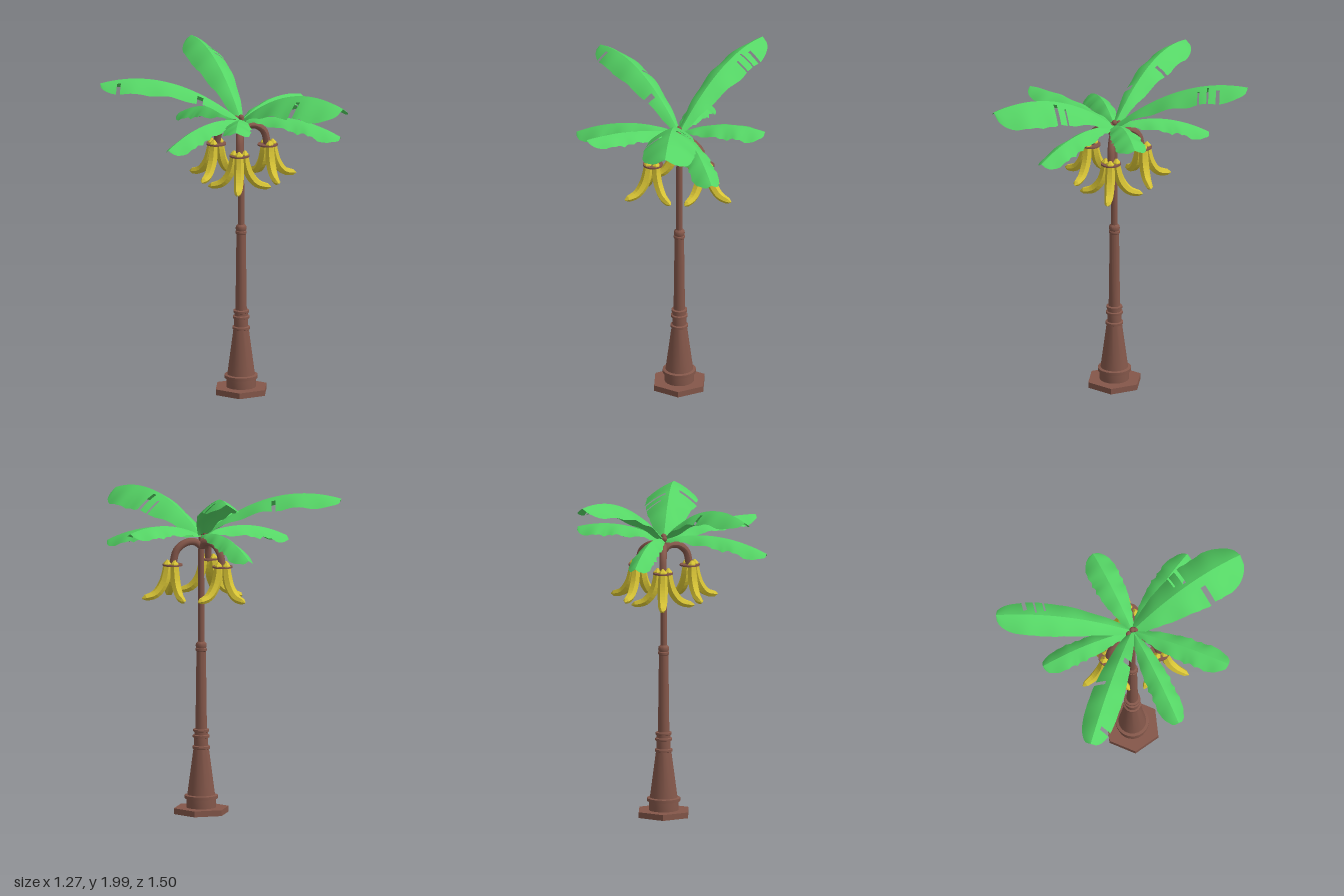
import * as THREE from 'three';
import { toCreasedNormals } from 'three/addons/utils/BufferGeometryUtils.js';

const V = (x, y, z) => new THREE.Vector3(x, y, z);
const bark = new THREE.MeshStandardMaterial({ color: 0x84574a });
const peel = new THREE.MeshStandardMaterial({ color: 0xd8c435, flatShading: true });
const green = new THREE.MeshStandardMaterial({ color: 0x55d565, side: THREE.DoubleSide });

function add(parent, name, geometry, material) {
  const mesh = new THREE.Mesh(geometry, material);
  mesh.name = name;
  parent.add(mesh);
  return mesh;
}

// Tube whose radius follows radius(t); small end radii close it
function taperedTube(points, segments, sides, radius) {
  const curve = new THREE.CatmullRomCurve3(points);
  const geo = new THREE.TubeGeometry(curve, segments, 1, sides);
  const pos = geo.attributes.position;
  const p = V(0, 0, 0);
  for (let i = 0; i <= segments; i++) {
    const c = curve.getPointAt(i / segments);
    for (let j = 0; j <= sides; j++) {
      const k = i * (sides + 1) + j;
      p.fromBufferAttribute(pos, k).sub(c).multiplyScalar(radius(i / segments)).add(c);
      pos.setXYZ(k, p.x, p.y, p.z);
    }
  }
  geo.computeVertexNormals();
  return geo;
}

// One half of a folded blade; slits are [side, from, to, innerEdge]
function leafHalf(rib, halfWidth, side, slits, teeth, fold) {
  const rows = 72, cols = 6, pos = [], index = [];
  const dir = rib.getPoint(1).sub(rib.getPoint(0));
  const across = V(-dir.z, 0, dir.x).normalize().multiplyScalar(side);
  for (let i = 0; i <= rows; i++) {
    const t = i / rows;
    const root = Math.pow(Math.min(1, t / 0.55), 0.55);
    const end = t > 0.72 ? Math.sqrt(Math.max(0, 1 - ((t - 0.72) / 0.28) ** 2)) : 1;
    const ripple = 1 - teeth * Math.abs(Math.sin(t * 31 + side)) * (0.6 + 0.4 * Math.sin(t * 13));
    const w = halfWidth * root * end;
    for (let j = 0; j <= cols; j++) {
      const s = j / cols;
      const reach = w * s * (1 + (ripple - 1) * s);
      const p = rib.getPoint(Math.min(1, t + 0.02 * s * end * root));
      p.addScaledVector(across, reach);
      p.y -= fold * reach * (0.6 + 0.4 * s) + 0.006 * s * Math.sin(t * 24 + side) * end;
      pos.push(p.x, p.y, p.z);
    }
  }
  for (let i = 0; i < rows; i++) {
    const t = (i + 0.5) / rows;
    for (let j = 0; j < cols; j++) {
      if (slits.some(([k, a, b, e]) => k === side && t > a && t < b && (j + 0.5) / cols > e)) continue;
      const a = i * (cols + 1) + j, b = a + 1, c = a + cols + 1, d = c + 1;
      if (side > 0) index.push(a, b, c, b, d, c);
      else index.push(a, c, b, b, c, d);
    }
  }
  const geo = new THREE.BufferGeometry();
  geo.setAttribute('position', new THREE.Float32BufferAttribute(pos, 3));
  // keep the lit side facing up
  geo.setIndex(index);
  geo.computeVertexNormals();
  if (geo.attributes.normal.getY(20 * (cols + 1) + 2) < 0) {
    geo.setIndex(index.reverse());
    geo.computeVertexNormals();
  }
  return geo;
}

export function createModel() {
  const model = new THREE.Group();
  model.name = 'bananaPalm';
  const tree = new THREE.Group();
  tree.name = 'tree';
  tree.position.set(0.137, 0, 0.06);
  model.add(tree);

  // Six-sided foot with corners on the x axis
  const foot = add(tree, 'foot', toCreasedNormals(new THREE.CylinderGeometry(0.168, 0.168, 0.035, 6), 0.5), bark);
  foot.position.y = 0.0175;
  foot.rotation.y = Math.PI / 6 * 3;

  // Turned trunk
  const profile = [
    [0, 0.03], [0.088, 0.03], [0.088, 0.09], [0.099, 0.09], [0.099, 0.108], [0.082, 0.112],
    [0.046, 0.385], [0.052, 0.388], [0.052, 0.402], [0.042, 0.406], [0.041, 0.452], [0.05, 0.455],
    [0.05, 0.468], [0.041, 0.472], [0.041, 0.487], [0.047, 0.49], [0.047, 0.503], [0.034, 0.506],
    [0.028, 0.97], [0.033, 0.975], [0.033, 0.988], [0.029, 0.992], [0.033, 1.005], [0.03, 1.02],
    [0.02, 1.03], [0.017, 1.66], [0, 1.67],
  ].map(([r, y]) => new THREE.Vector2(r, y));
  add(tree, 'trunk', toCreasedNormals(new THREE.LatheGeometry(profile, 20), 0.6), bark);

  // Buds at the crown
  for (const [x, y, z] of [[0, 1.685, 0], [-0.02, 1.675, -0.025], [0.005, 1.67, 0.02]]) {
    add(tree, 'crownBud', new THREE.SphereGeometry(0.017, 10, 8), bark).position.set(x, y, z);
  }

  // Three drooping branches, each with a bunch of three bananas
  for (let b = 0; b < 3; b++) {
    const arm = new THREE.Group();
    arm.name = 'fruitBranch';
    arm.rotation.y = b * Math.PI * 2 / 3;
    tree.add(arm);
    const bend = [V(0, 1.6, 0), V(0.035, 1.628, 0), V(0.09, 1.628, 0), V(0.15, 1.585, 0), V(0.176, 1.49, 0)];
    add(arm, 'branch', taperedTube(bend, 20, 10, () => 0.022), bark);

    const bunch = new THREE.Group();
    bunch.name = 'bananaBunch';
    bunch.position.x = 0.176;
    arm.add(bunch);
    add(bunch, 'bunchCollar', toCreasedNormals(new THREE.CylinderGeometry(0.06, 0.06, 0.009, 16), 0.6), bark).position.y = 1.498;
    for (const angle of [0, 1.68, -1.68]) {
      const path = [V(0.032, 1.53, 0), V(0.036, 1.46, 0), V(0.058, 1.385, 0), V(0.108, 1.325, 0), V(0.188, 1.303, 0)];
      const girth = t => t > 0.999 ? 0.003 : t < 0.001 ? 0.004
        : 0.012 + 0.018 * Math.pow(Math.sin(Math.PI * Math.min(1, 0.1 + t * 0.9)), 0.6);
      add(bunch, 'banana', taperedTube(path, 14, 6, girth), peel).rotation.y = angle;
    }
  }

  // Leaves: tip, arch height, half width, edge teeth, fold, slits
  const leaves = [
    [V(0.21, 1.985, -0.745), 2.03, 0.105, 0.02, 0.75, [[1, 0.69, 0.715, 0.2], [1, 0.76, 0.79, 0.3], [1, 0.62, 0.64, 0.3]]],
    [V(-0.63, 1.905, -0.275), 2.02, 0.098, 0.02, 0.75, [[1, 0.5, 0.525, 0.4], [-1, 0.27, 0.3, 0.3], [-1, 0.85, 0.88, 0.3]]],
    [V(0.47, 1.86, 0.74), 1.99, 0.155, 0.04, 0.7, [[1, 0.59, 0.62, 0.3], [-1, 0.41, 0.43, 0.3], [-1, 0.49, 0.52, 0.2]]],
    [V(0.625, 1.725, -0.12), 1.8, 0.095, 0.12, 0.6, []],
    [V(0.605, 1.6, 0.44), 1.76, 0.085, 0.15, 0.75, []],
    [V(-0.17, 1.76, 0.6), 1.78, 0.085, 0.15, 0.6, []],
    [V(-0.45, 1.605, 0.27), 1.76, 0.08, 0.15, 0.85, []],
    [V(0, 1.595, -0.488), 1.76, 0.075, 0.15, 0.85, []],
  ];
  for (const [tip, arch, width, teeth, fold, slits] of leaves) {
    const root = V(0.137, 1.665, 0.06);
    const middle = root.clone().lerp(tip, 0.5).setY(arch);
    const rib = new THREE.QuadraticBezierCurve3(root, middle, tip);
    const leaf = new THREE.Group();
    leaf.name = 'leaf';
    for (const side of [1, -1]) add(leaf, 'leafHalf', leafHalf(rib, width, side, slits, teeth, fold), green);
    model.add(leaf);
  }
  return model;
}
